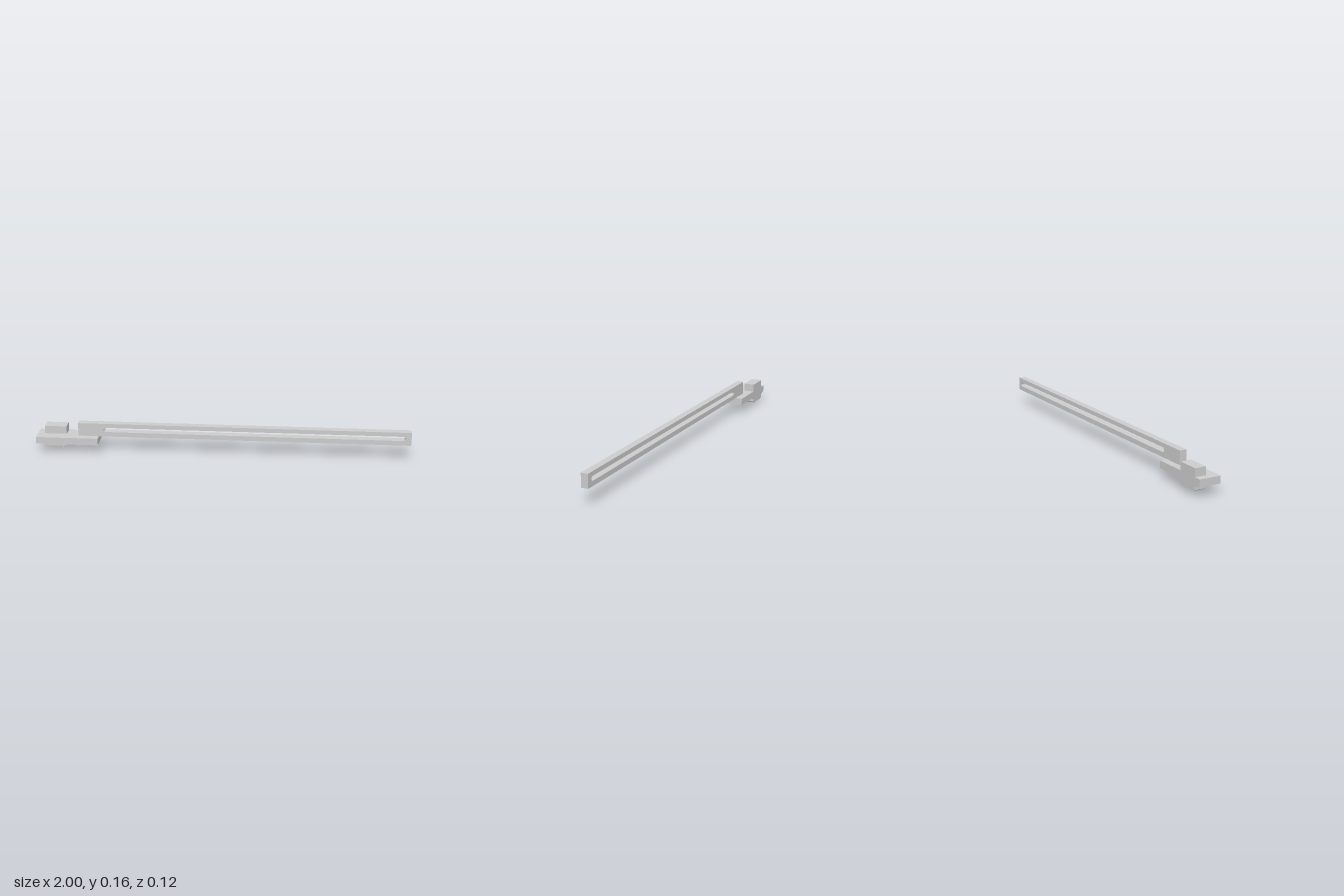
import * as THREE from 'three';

const material = new THREE.MeshStandardMaterial({ color: 0xcccccc, flatShading: true });

function add(group, name, geometry, x = 0, y = 0, z = 0) {
  const mesh = new THREE.Mesh(geometry, material);
  mesh.name = name;
  mesh.position.set(x, y, z);
  group.add(mesh);
  return mesh;
}

// Box given by its limits on each axis
function addBox(group, name, [x0, x1], [y0, y1], [z0, z1]) {
  return add(group, name, new THREE.BoxGeometry(x1 - x0, y1 - y0, z1 - z0),
    (x0 + x1) / 2, (y0 + y1) / 2, (z0 + z1) / 2);
}

function polygon(points) {
  return new THREE.Shape(points.map(([x, y]) => new THREE.Vector2(x, y)));
}

export function createModel() {
  const model = new THREE.Group();
  model.name = 'slottedArm';

  // Long bar with a round-ended slot
  const bar = polygon([[-0.775, 0.09], [1, 0.09], [1, 0.163], [-0.775, 0.163]]);
  const r = 0.012, slotY = 0.128;
  const slot = new THREE.Path();
  slot.absarc(-0.626, slotY, r, Math.PI / 2, Math.PI * 1.5, false);
  slot.absarc(0.958, slotY, r, -Math.PI / 2, Math.PI / 2, false);
  slot.closePath();
  bar.holes.push(slot);
  add(model, 'slottedBar', new THREE.ExtrudeGeometry(bar,
    { depth: 0.038, bevelEnabled: false, curveSegments: 12 }), 0, 0, -0.018);

  // Mounting plate beneath the end of the bar
  addBox(model, 'mountingPlate', [-1, -0.665], [0.053, 0.091], [-0.058, 0.058]);

  // Small motor set through the plate
  const motor = new THREE.Group();
  motor.name = 'motor';
  model.add(motor);
  const body = polygon([
    [-0.948, 0.02], [-0.855, 0.02], [-0.843, 0.028],
    [-0.843, 0.134], [-0.962, 0.134], [-0.962, 0.028],
  ]);
  add(motor, 'motorBody', new THREE.ExtrudeGeometry(body,
    { depth: 0.06, bevelEnabled: false }), 0, 0, -0.0585);
  addBox(motor, 'mountingTabs', [-0.982, -0.824], [0.046, 0.053], [-0.058, 0.001]);

  // Stepped output shaft pointing down
  add(motor, 'shaftCollar', new THREE.CylinderGeometry(0.011, 0.011, 0.01, 24), -0.871, 0.016, -0.027);
  add(motor, 'outputShaft', new THREE.CylinderGeometry(0.008, 0.008, 0.02, 24), -0.871, 0.01, -0.027);

  return model;
}
